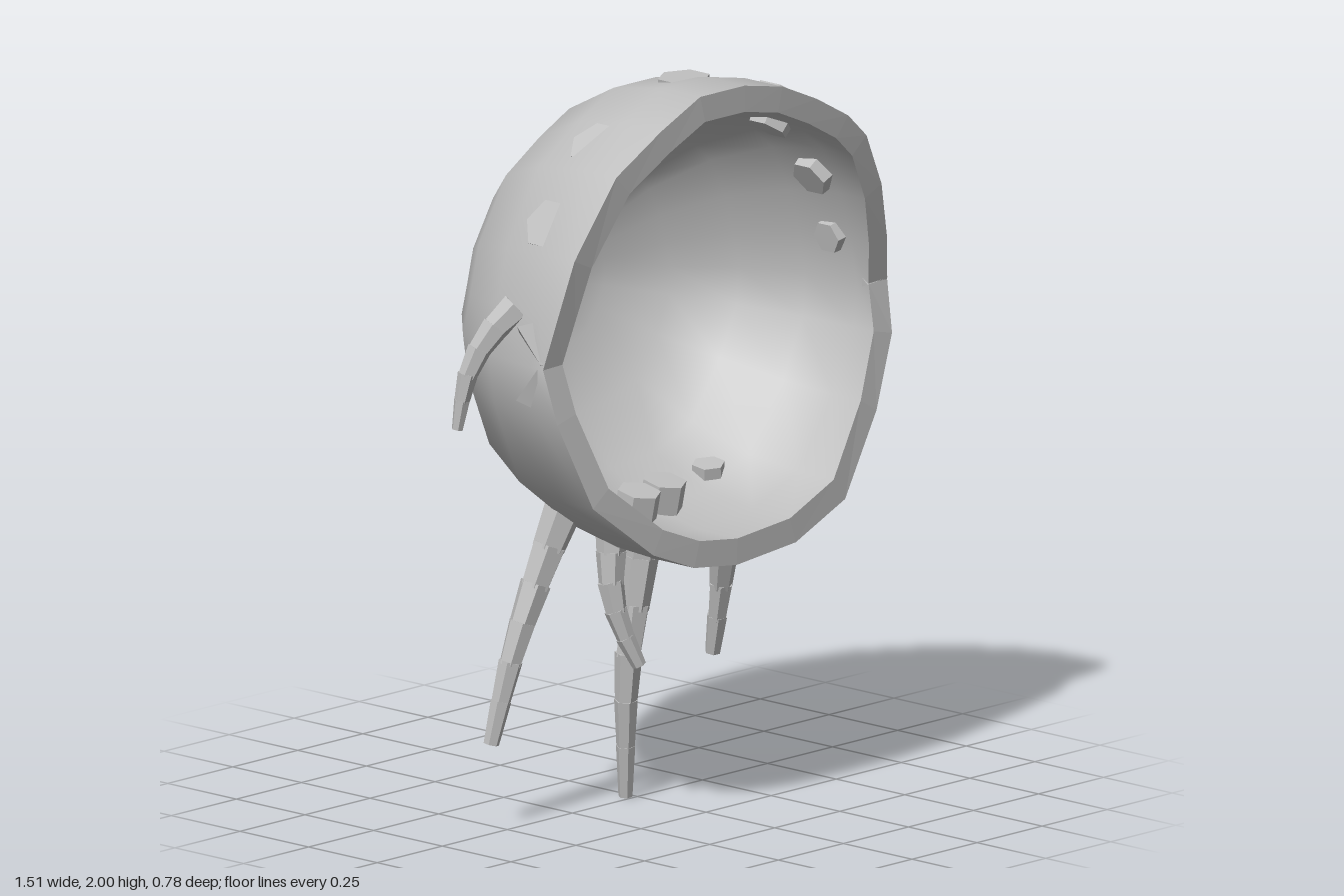
import * as THREE from 'three';
import { mergeVertices } from 'three/addons/utils/BufferGeometryUtils.js';

const CY = 1.35, CZ = 0.27, DEPTH = 0.66;

// Uneven outline of the open mouth, anticlockwise from the front (x, y)
const outline = [
  [0.65, 1.34], [0.625, 1.47], [0.58, 1.62], [0.5, 1.77], [0.42, 1.84], [0.29, 1.91],
  [0.15, 1.97], [0, 2], [-0.17, 2], [-0.31, 1.93], [-0.47, 1.83], [-0.6, 1.62],
  [-0.64, 1.46], [-0.675, 1.33], [-0.65, 1.18], [-0.55, 0.94], [-0.34, 0.78],
  [-0.19, 0.72], [-0.03, 0.7], [0.2, 0.72], [0.4, 0.8], [0.55, 1.01], [0.64, 1.2],
].map(([x, y]) => [x, y - CY]);

const v = (x, y, z) => new THREE.Vector3(x, y, z);

// Rim leans forward above and below the mouth corners
const rimZ = (dy) => 0.29 + 0.1 * Math.pow(Math.min(1, Math.abs(dy) / 0.65), 0.8);

function rimRing(scale) {
  return outline.map(([x, y]) => v(x * scale, CY + y * scale, rimZ(y)));
}

// Rings of a dome from the back pole to the rim
function domeRings(scale) {
  const rings = [0, 18, 36, 54, 72, 88].map((deg) => {
    const p = THREE.MathUtils.degToRad(deg), s = Math.sin(p) * scale;
    return outline.map(([x, y]) => v(x * s, CY + y * s, CZ - DEPTH * scale * Math.cos(p)));
  });
  rings.push(rimRing(scale));
  return rings;
}

// Closed surface strip through a list of rings
function loft(rings) {
  const n = rings[0].length, pos = [], index = [];
  rings.forEach((r) => r.forEach((p) => pos.push(p.x, p.y, p.z)));
  for (let i = 0; i < rings.length - 1; i++) {
    for (let j = 0; j < n; j++) {
      const k = (j + 1) % n;
      const a = i * n + j, b = i * n + k, c = b + n, d = a + n;
      index.push(a, b, c, a, c, d);
    }
  }
  let g = new THREE.BufferGeometry();
  g.setAttribute('position', new THREE.Float32BufferAttribute(pos, 3));
  g.setIndex(index);
  g = mergeVertices(g, 1e-4);
  g.computeVertexNormals();
  return g;
}

export function createModel() {
  const model = new THREE.Group();
  const grey = new THREE.MeshStandardMaterial({ color: 0xbfbfbf });
  grey.name = 'grey';

  function add(parent, name, geometry) {
    const mesh = new THREE.Mesh(geometry, grey);
    mesh.name = name;
    parent.add(mesh);
    return mesh;
  }

  // Faceted tapered prism between two points
  function prism(parent, name, a, b, ra, rb, sides = 6) {
    const dir = b.clone().sub(a);
    const g = new THREE.CylinderGeometry(rb, ra, dir.length(), sides).toNonIndexed();
    g.computeVertexNormals();
    const mesh = add(parent, name, g);
    mesh.position.copy(a).add(b).multiplyScalar(0.5);
    mesh.quaternion.setFromUnitVectors(v(0, 1, 0), dir.normalize());
  }

  // Segmented limb along a curve, each joint a little wider than the last tip
  function limb(name, points, r0, r1, count) {
    const group = new THREE.Group();
    group.name = name;
    const pts = new THREE.CatmullRomCurve3(points.map((p) => v(...p))).getSpacedPoints(count);
    for (let i = 0; i < count; i++) {
      const ra = THREE.MathUtils.lerp(r0, r1, i / count);
      const rb = THREE.MathUtils.lerp(r0, r1, (i + 1) / count);
      const overlap = pts[i + 1].clone().sub(pts[i]).multiplyScalar(0.1);
      prism(group, name + 'Segment', pts[i].clone().sub(overlap), pts[i + 1], ra * 1.04, rb * 0.96);
    }
    model.add(group);
  }

  // Hollow body
  add(model, 'outerShell', loft(domeRings(1)));
  add(model, 'innerShell', loft(domeRings(0.89).reverse()));
  const rim = loft([rimRing(1), rimRing(0.89)]).toNonIndexed();
  rim.computeVertexNormals();
  add(model, 'mouthRim', rim);

  // Upper teeth, set radially through the shell
  const upper = [[-0.55, 0.11], [-0.47, 0.29], [-0.32, 0.46], [-0.02, 0.57],
    [0.31, 0.46], [0.46, 0.28], [0.54, 0.11]];
  upper.forEach(([x, y]) => {
    const d = v(x, y, 0).normalize();
    const at = (r) => d.clone().multiplyScalar(r).add(v(0, CY, 0.19));
    const side = Math.abs(y) < 0.2;
    prism(model, 'upperTooth', at(side ? 0.61 : 0.645), at(y > 0.5 ? 0.555 : 0.535),
      side ? 0.05 : 0.072, side ? 0.045 : 0.055);
  });

  // Lower teeth
  [[-0.14, 0.14, 0.88], [-0.01, 0.11, 0.88]].forEach(([x, z, top]) =>
    prism(model, 'lowerTooth', v(x, 0.74, z - 0.03), v(x, top, z), 0.06, 0.06));
  [[0.22, 0.05], [-0.26, 0.04]].forEach(([x, z]) =>
    prism(model, 'lowerSideTooth', v(x * 1.05, 0.8, z - 0.01), v(x, x > 0 ? 0.875 : 0.86, z), 0.045, 0.045));

  // Folds at the mouth corners
  [[0.645, 1], [-0.67, -1]].forEach(([x, s]) => {
    const corner = v(x, 1.34, 0.285);
    prism(model, 'cornerFold', v(x - s * 0.01, 1.43, 0.21), corner, 0.03, 0.003, 3);
    prism(model, 'cornerFold', v(x - s * 0.005, 1.23, 0.22), corner, 0.025, 0.003, 3);
    prism(model, 'cornerFold', v(x - s * 0.07, 1.34, 0.28), v(x + s * 0.01, 1.345, 0.29), 0.015, 0.004, 3);
  });

  // Arms
  limb('leftArm', [[0.61, 1.46, 0.14], [0.665, 1.39, 0.1], [0.71, 1.29, 0.07], [0.74, 1.13, 0.05]], 0.042, 0.016, 5);
  limb('rightArm', [[-0.62, 1.46, 0.14], [-0.68, 1.39, 0.1], [-0.725, 1.29, 0.07], [-0.745, 1.14, 0.05]], 0.042, 0.016, 5);

  // Legs
  limb('rightLeg', [[-0.35, 0.85, 0.06], [-0.4, 0.7, 0.03], [-0.48, 0.47, 0], [-0.53, 0.23, -0.03]], 0.052, 0.022, 6);
  limb('frontLeg', [[-0.17, 0.78, 0.07], [-0.185, 0.62, 0.08], [-0.17, 0.51, 0.1], [-0.13, 0.4, 0.13]], 0.045, 0.02, 5);
  limb('middleLeg', [[-0.02, 0.78, 0.05], [-0.03, 0.6, 0.03], [-0.055, 0.35, 0.015], [-0.025, 0, -0.02]], 0.052, 0.02, 6);
  limb('leftLeg', [[0.29, 0.85, 0.07], [0.335, 0.7, 0.01], [0.385, 0.5, -0.06], [0.405, 0.3, -0.11]], 0.052, 0.022, 6);

  return model;
}
